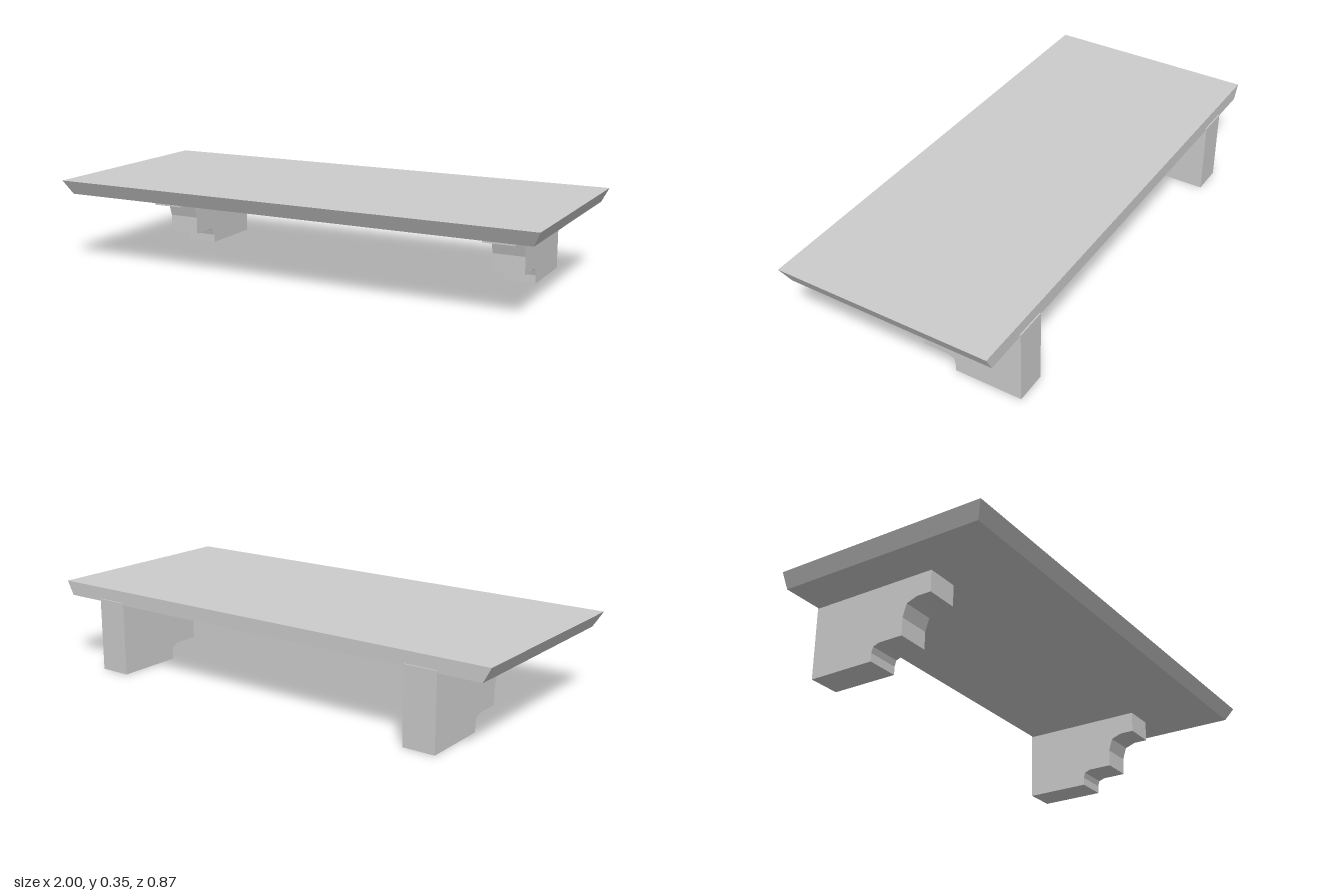
import * as THREE from 'three';

const material = new THREE.MeshStandardMaterial({ color: 0xcccccc, flatShading: true });

// Board whose front and side edges slope inwards towards the underside
function createBoard() {
  const top = 0.347, bottom = 0.29, back = -0.432, front = 0.437, bevel = 0.03;
  const geometry = new THREE.BoxGeometry(2, top - bottom, front - back);
  geometry.translate(0, (top + bottom) / 2, (front + back) / 2);
  const p = geometry.attributes.position;
  for (let i = 0; i < p.count; i++) {
    if (p.getY(i) > (top + bottom) / 2) continue;
    p.setX(i, p.getX(i) - Math.sign(p.getX(i)) * bevel);
    if (p.getZ(i) > 0) p.setZ(i, p.getZ(i) - bevel);
  }
  geometry.computeVertexNormals();
  const board = new THREE.Mesh(geometry, material);
  board.name = 'shelfBoard';
  return board;
}

// Stepped bracket profile as (z, y), extruded across its width
function createBracketGeometry() {
  const width = 0.13;
  const profile = [
    [-0.437, 0], [-0.163, 0], [-0.163, 0.033], [-0.156, 0.056], [-0.131, 0.065],
    [-0.03, 0.065], [-0.03, 0.136], [-0.014, 0.187], [0.03, 0.203],
    [0.09, 0.203], [0.09, 0.3], [-0.437, 0.3],
  ].map(([z, y]) => new THREE.Vector2(z, y));
  const geometry = new THREE.ExtrudeGeometry(new THREE.Shape(profile), {
    depth: width, bevelEnabled: false,
  });
  geometry.translate(0, 0, -width / 2);
  geometry.rotateY(-Math.PI / 2);
  return geometry;
}

export function createModel() {
  const model = new THREE.Group();
  model.name = 'wallShelf';
  model.add(createBoard());

  // Matching pair of brackets
  const bracketGeometry = createBracketGeometry();
  for (const side of [-1, 1]) {
    const bracket = new THREE.Mesh(bracketGeometry, material);
    bracket.name = side > 0 ? 'leftBracket' : 'rightBracket';
    bracket.position.x = side * 0.736;
    model.add(bracket);
  }
  return model;
}
